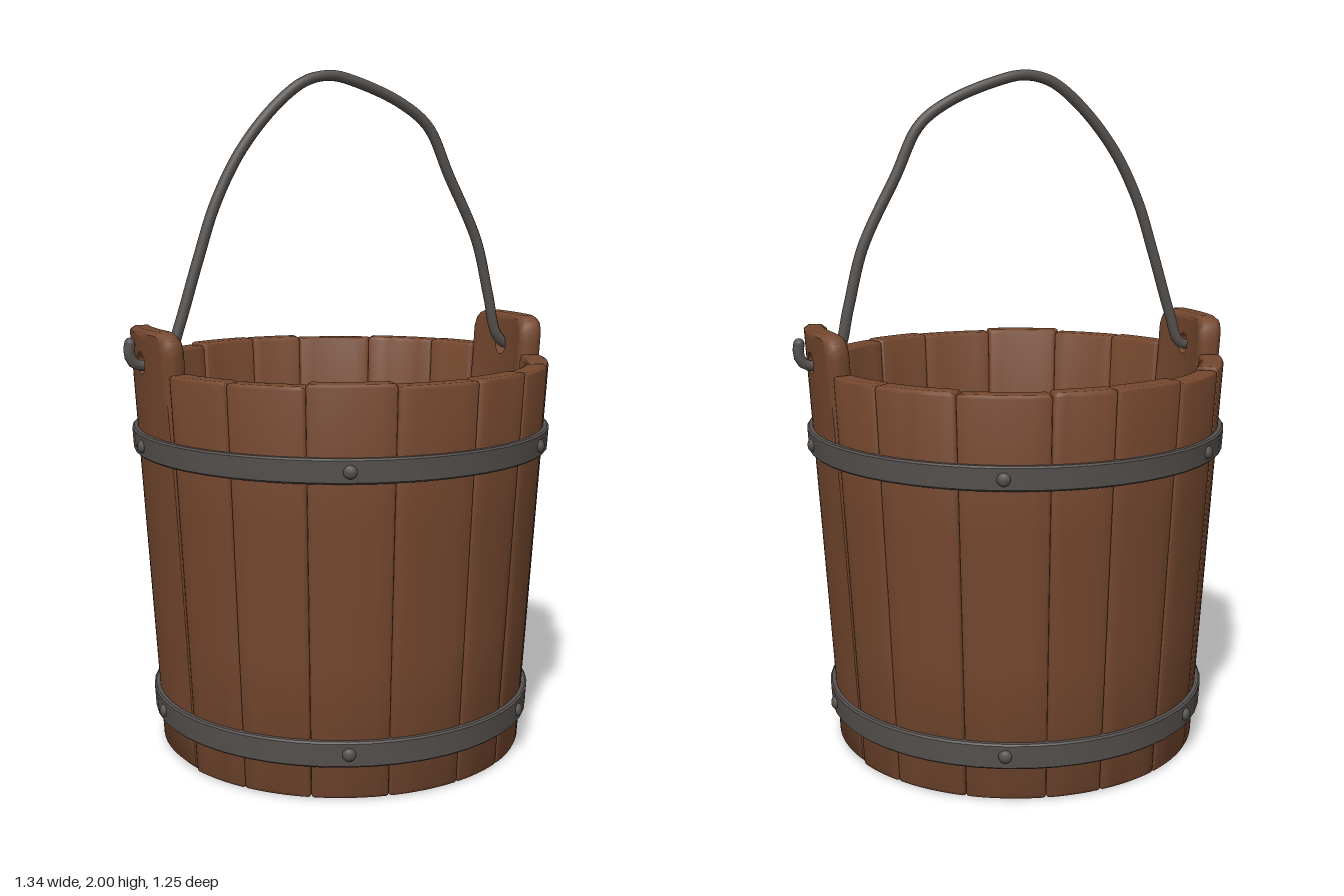
import * as THREE from 'three';
import { toCreasedNormals } from 'three/addons/utils/BufferGeometryUtils.js';

const REF = 0.6;          // radius at which stave widths are measured
const WALL = 0.066;       // stave thickness
const BEVEL = 0.01;
const rad = THREE.MathUtils.degToRad;
const radius = (y) => 0.545 + 0.063 * y; // outer wall, widening upward

// Wrap a flat board (x along the wall, y up, z outward) round the bucket
function bend(geometry, mid) {
  const p = geometry.attributes.position;
  for (let i = 0; i < p.count; i++) {
    const a = mid + p.getX(i) / REF;
    const r = radius(p.getY(i)) + p.getZ(i) - WALL / 2;
    p.setXYZ(i, r * Math.sin(a), p.getY(i), r * Math.cos(a));
  }
  return toCreasedNormals(geometry, 0.9);
}

// Chamfered board, subdivided so that it can be bent
function staveGeometry(mid, width, height) {
  const size = [width, height, WALL], segs = [8, 5, 3];
  const g = new THREE.BoxGeometry(1, 1, 1, ...segs);
  const p = g.attributes.position;
  const v = new THREE.Vector3(), inner = new THREE.Vector3();
  for (let i = 0; i < p.count; i++) {
    v.fromBufferAttribute(p, i);
    for (let k = 0; k < 3; k++) {
      const n = segs[k], j = Math.round((v.getComponent(k) + 0.5) * n), L = size[k];
      const d = j === 0 ? 0 : j === n ? L : BEVEL + ((j - 1) / (n - 2)) * (L - 2 * BEVEL);
      v.setComponent(k, d - L / 2);
      inner.setComponent(k, THREE.MathUtils.clamp(d - L / 2, BEVEL - L / 2, L / 2 - BEVEL));
    }
    v.sub(inner).setLength(BEVEL).add(inner);
    p.setXYZ(i, v.x, v.y + height / 2, v.z);
  }
  return bend(g, mid);
}

// Tall stave with rounded top and a hole, lofted from the hole to its outline
function earGeometry(mid, width) {
  const w = width / 2, top = 1.272, c = 0.065, hy = 1.175, hr = 0.032;
  const outline = new THREE.Path();
  outline.moveTo(-w, 0).lineTo(w, 0).lineTo(w, top - c);
  outline.quadraticCurveTo(w, top, w - c, top).lineTo(c - w, top);
  outline.quadraticCurveTo(-w, top, -w, top - c).lineTo(-w, 0);
  const N = 140, pts = outline.getSpacedPoints(N).slice(0, N);
  const steps = [0, 0.15, 0.3, 0.5, 0.7, 0.85, 1];
  const pos = [], index = [], h = WALL / 2, M = steps.length * 2 + 2, b = 0.015;
  pts.forEach((q, i) => {
    const dx = q.x, dy = q.y - hy, len = Math.hypot(dx, dy);
    const put = (t, z) => pos.push((dx / len) * t, hy + (dy / len) * t, z);
    const face = (z, order) => order.forEach((s) => put(hr + s * (len - b - hr), z));
    face(h, steps);
    put(len, h - b);
    put(len, b - h);
    face(-h, [...steps].reverse());
    for (let j = 0; j < M; j++) {
      const i2 = (i + 1) % N, j2 = (j + 1) % M;
      const a = i * M + j, e = i * M + j2, f = i2 * M + j2, d = i2 * M + j;
      index.push(a, e, f, a, f, d);
    }
  });
  const g = new THREE.BufferGeometry();
  g.setAttribute('position', new THREE.Float32BufferAttribute(pos, 3));
  g.setIndex(index);
  return bend(g, mid);
}

// Flat ring following the slope of the wall
function hoopGeometry(y0, y1, inside, outside) {
  const at = (d, y) => new THREE.Vector2(radius(y) + d, y);
  const e = 0.005;
  const loop = [at(inside, y0), at(outside - e, y0), at(outside, y0 + e),
    at(outside, y1 - e), at(outside - e, y1), at(inside, y1), at(inside, y0)];
  return toCreasedNormals(new THREE.LatheGeometry(loop, 48), 0.6);
}

export function createModel() {
  const wood = new THREE.MeshStandardMaterial({ color: 0x75482f });
  wood.name = 'brown wood';
  const metal = new THREE.MeshStandardMaterial({ color: 0x56514e });
  metal.name = 'dark iron';

  const model = new THREE.Group();
  model.name = 'bucket';
  const group = (name) => {
    const g = new THREE.Group();
    g.name = name;
    model.add(g);
    return g;
  };
  const add = (parent, name, geometry, material) => {
    const m = new THREE.Mesh(geometry, material);
    m.name = name;
    parent.add(m);
    return m;
  };

  // Staves: uneven seams on the front and back, a wide ear stave on each side
  const staves = group('staves');
  const seams = [[-74, -54, -33, -10, 13, 32, 52, 74], [106, 123, 146, 170, 187, 208, 230, 254]];
  seams.forEach((list) => {
    for (let i = 0; i < list.length - 1; i++) {
      const a = rad(list[i]), b = rad(list[i + 1]);
      const height = 1.16 + 0.004 * Math.sin(list[i] * 7);
      add(staves, 'stave', staveGeometry((a + b) / 2, (b - a) * REF, height), wood);
    }
  });
  add(staves, 'leftEarStave', earGeometry(rad(90), rad(32) * REF), wood);
  add(staves, 'rightEarStave', earGeometry(rad(270), rad(32) * REF), wood);

  // Floor: parallel planks cut to a circle
  const floor = group('floor');
  const cuts = [-0.49, -0.31, -0.1, 0.11, 0.31, 0.49], R = 0.49;
  for (let i = 0; i < cuts.length - 1; i++) {
    const edge = [], n = 14;
    for (let k = 0; k <= n; k++) {
      const x = THREE.MathUtils.lerp(cuts[i], cuts[i + 1], k / n);
      edge.push([x, Math.sqrt(Math.max(R * R - x * x, 0.0004))]);
    }
    const outline = [...edge.map(([x, z]) => new THREE.Vector2(x, -z)),
      ...edge.reverse().map(([x, z]) => new THREE.Vector2(x, z))];
    const g = new THREE.ExtrudeGeometry(new THREE.Shape(outline), {
      depth: 0.04, bevelThickness: 0.004, bevelSize: 0.004, bevelOffset: -0.004, bevelSegments: 1,
    });
    g.rotateX(-Math.PI / 2).translate(0, 0.05, 0);
    add(floor, 'floorPlank', g, wood);
  }

  // Hoops with rivets driven through the wall
  const hoops = group('hoops');
  add(hoops, 'upperHoop', hoopGeometry(0.9, 0.97, -0.02, 0.017), metal);
  add(hoops, 'lowerHoop', hoopGeometry(0.1, 0.175, -0.02, 0.017), metal);
  add(hoops, 'innerLowerRing', hoopGeometry(0.1, 0.16, -WALL - 0.006, -WALL + 0.02), metal);
  const rivet = new THREE.SphereGeometry(0.019, 12, 8).scale(1, 1, 0.65);
  for (const y of [0.935, 0.14]) {
    for (const angle of [42, -22, -90, 222, 158, 90]) {
      for (const d of [0.018, -WALL - 0.002]) {
        const a = rad(angle), r = radius(y) + d;
        const m = add(hoops, 'rivet', rivet, metal);
        m.position.set(r * Math.sin(a), y, r * Math.cos(a));
        m.rotation.y = a;
      }
    }
  }

  // Bent wire handle, hooked through both ears
  const path = [[-0.65, 1.232], [-0.652, 1.2], [-0.635, 1.172], [-0.59, 1.168], [-0.54, 1.18],
    [-0.505, 1.27], [-0.445, 1.46], [-0.39, 1.62], [-0.31, 1.77], [-0.2, 1.9], [-0.11, 1.967],
    [-0.03, 1.984], [0.05, 1.968], [0.2, 1.908], [0.29, 1.84], [0.36, 1.7], [0.46, 1.5],
    [0.505, 1.33], [0.54, 1.2], [0.59, 1.168], [0.635, 1.172], [0.653, 1.2], [0.651, 1.232]];
  const points = path.map(([x, y]) => new THREE.Vector3(x, y, 0));
  const handle = group('handle');
  add(handle, 'handleWire', new THREE.TubeGeometry(new THREE.CatmullRomCurve3(points), 120, 0.016, 10), metal);
  for (const p of [points[0], points[points.length - 1]]) {
    add(handle, 'hookTip', new THREE.SphereGeometry(0.016, 10, 8), metal).position.copy(p);
  }
  return model;
}
